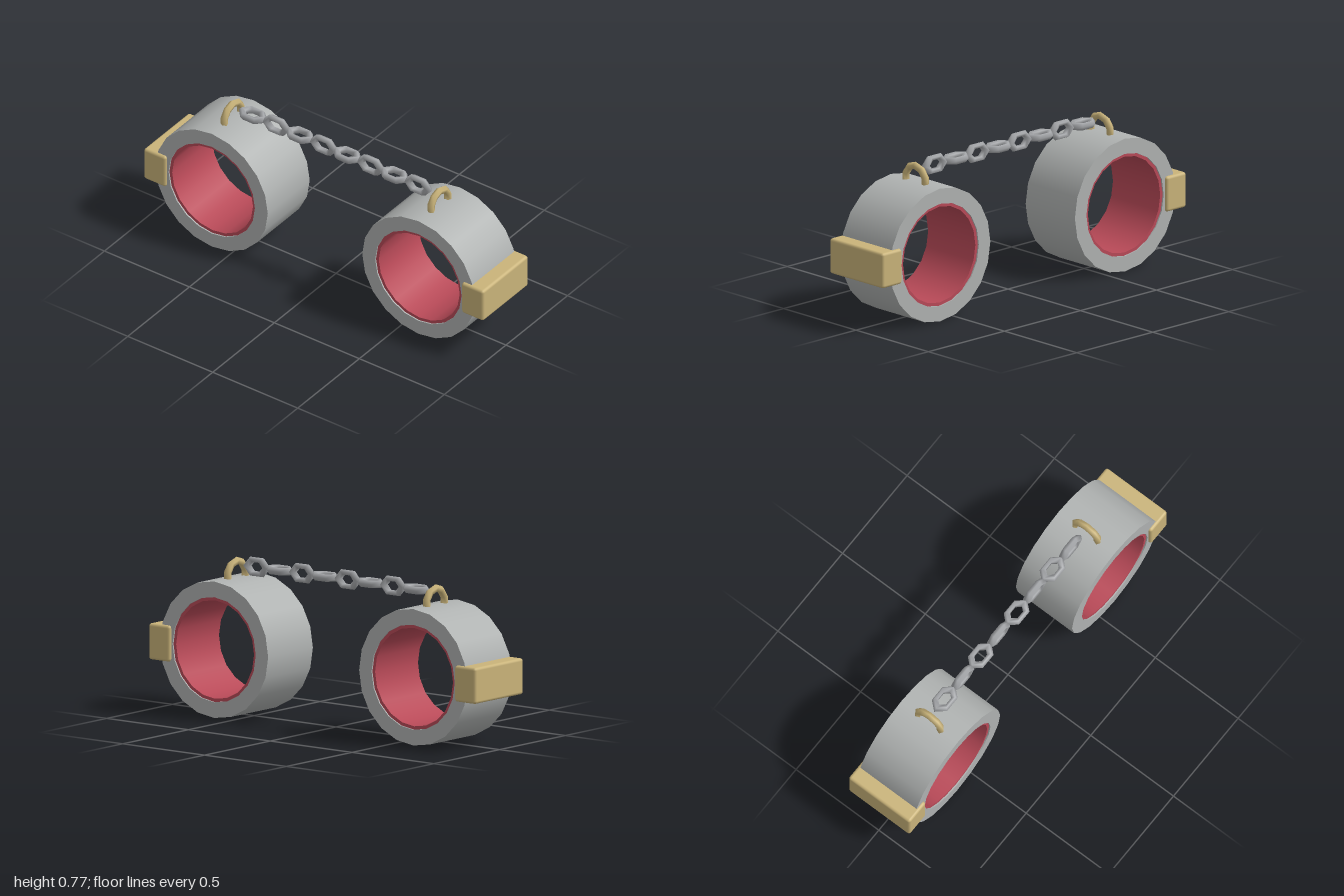
import * as THREE from 'three';
import { mergeGeometries } from 'three/addons/utils/BufferGeometryUtils.js';
import { RoundedBoxGeometry } from 'three/addons/geometries/RoundedBoxGeometry.js';

const material = (name, color) => {
  const m = new THREE.MeshStandardMaterial({ color });
  m.name = name;
  return m;
};

function addMesh(parent, name, geometry, mat, x = 0, y = 0, z = 0) {
  const mesh = new THREE.Mesh(geometry, mat);
  mesh.name = name;
  mesh.position.set(x, y, z);
  parent.add(mesh);
  return mesh;
}

// Hollow ring along z: round walls are smooth, rims stay sharp
function ringGeometry(outer, inner, depth, sides) {
  const h = depth / 2;
  const corners = [[outer, -h], [outer, h], [inner, h], [inner, -h]]
    .map(([r, y]) => new THREE.Vector2(r, y));
  const strips = corners.map((p, i) =>
    new THREE.LatheGeometry([p, corners[(i + 1) % 4]], sides));
  return mergeGeometries(strips).rotateX(Math.PI / 2);
}

export function createModel() {
  const steel = material('cuff steel', 0xb0b3b2);
  const chainSteel = material('chain steel', 0xa6a8ab);
  const brass = material('brass', 0xcab47a);
  const lining = material('red lining', 0xb94a58);

  const model = new THREE.Group();
  model.name = 'shackles';

  const bandGeo = ringGeometry(0.33, 0.254, 0.34, 20);
  const liningGeo = ringGeometry(0.254, 0.238, 0.326, 20);
  const claspGeo = new RoundedBoxGeometry(0.13, 0.175, 0.37, 2, 0.014);
  // Ten-sided eyelet with its lower half sunk into the band
  const eyeletGeo = new THREE.TorusGeometry(0.07, 0.019, 5, 10)
    .rotateZ(Math.PI / 2).rotateY(Math.PI / 2);

  // Two mirrored cuffs
  for (const [side, s] of [['left', 1], ['right', -1]]) {
    const cuff = new THREE.Group();
    cuff.name = side + 'Cuff';
    cuff.position.set(s * 0.608, 0.33, 0);
    addMesh(cuff, 'band', bandGeo, steel);
    addMesh(cuff, 'lining', liningGeo, lining);
    addMesh(cuff, 'clasp', claspGeo, brass, s * 0.327, 0, 0);
    addMesh(cuff, 'eyelet', eyeletGeo, brass, 0, 0.338, 0);
    model.add(cuff);
  }

  // Chain of stretched six-sided links, each turned a quarter from the last
  const chain = new THREE.Group();
  chain.name = 'chain';
  chain.position.set(-0.003, 0.721, 0);
  const linkGeo = new THREE.TorusGeometry(0.0385, 0.0145, 5, 6).scale(1.55, 1, 1.3);
  for (let i = 0; i < 8; i++) {
    const link = addMesh(chain, 'link' + (i + 1), linkGeo, chainSteel, (i - 3.5) * 0.139);
    link.rotation.x = i % 2 ? 0 : Math.PI / 2;
  }
  model.add(chain);

  return model;
}
